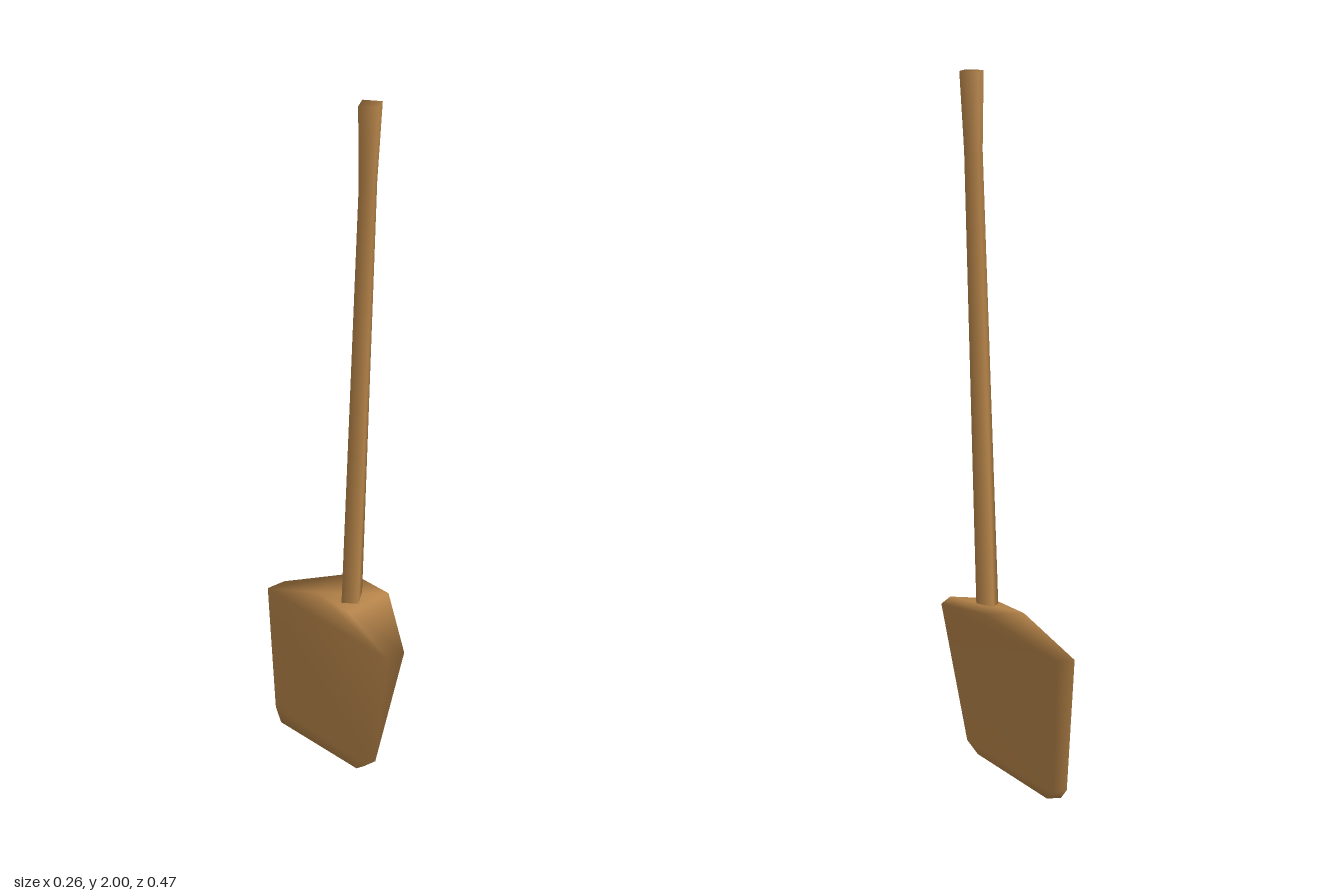
import * as THREE from 'three';

// Smooth solid lofted through rings of points (clockwise seen from the last ring's side).
function loft(rings) {
  const n = rings[0].length, last = (rings.length - 1) * n, index = [];
  for (let r = 0; r < last; r += n) {
    for (let k = 0; k < n; k++) {
      const a = r + k, b = r + (k + 1) % n;
      index.push(a, a + n, b, b, a + n, b + n);
    }
  }
  // End caps are strips of quads running between opposite edges
  for (let i = 0; i < n / 2 - 1; i++) {
    const a = i, b = i + 1, c = n - 2 - i, d = n - 1 - i;
    index.push(a, b, c, a, c, d);
    index.push(last + a, last + c, last + b, last + a, last + d, last + c);
  }
  const g = new THREE.BufferGeometry();
  g.setAttribute('position', new THREE.Float32BufferAttribute(rings.flat(2), 3));
  g.setIndex(index);
  g.computeVertexNormals();
  return g;
}

// Square section of the handle, turned slightly about its axis
function square(x, y, z, radius) {
  return [0, 1, 2, 3].map((k) => {
    const a = -0.17 + k * Math.PI / 2;
    return [x + radius * Math.cos(a), y, z + radius * Math.sin(a)];
  });
}

export function createModel() {
  const group = new THREE.Group();
  const wood = new THREE.MeshStandardMaterial({ color: 0xb9864a });
  wood.name = 'wood';

  const add = (name, geometry) => {
    const mesh = new THREE.Mesh(geometry, wood);
    mesh.name = name;
    group.add(mesh);
  };

  // Blade: flat back, and a front that folds forward into a lip above the shoulders.
  // Each outline runs top, shoulder, bottom corner, bottom edge, and back up.
  const back = [
    [-0.048, 0.538, -0.055], [-0.13, 0.46, -0.228], [-0.13, 0.04, -0.185], [-0.125, 0, -0.155],
    [0, 0.014, 0.14], [0.012, 0.05, 0.17], [0.053, 0.47, 0.232], [0.003, 0.538, 0.075],
  ];
  const front = [
    [0.075, 0.56, -0.07], [-0.075, 0.465, -0.235], [-0.087, 0.04, -0.19], [-0.082, 0.006, -0.155],
    [0.024, 0.014, 0.14], [0.047, 0.05, 0.17], [0.105, 0.475, 0.225], [0.128, 0.565, 0.065],
  ];
  add('blade', loft([back, front]));

  // Handle: leaning shaft, narrowing upwards and flaring at the grip
  add('handle', loft([
    square(0.033, 0.51, 0.02, 0.035),
    square(0.058, 1.8, 0.049, 0.027),
    square(0.061, 2, 0.052, 0.035),
  ]));

  return group;
}
